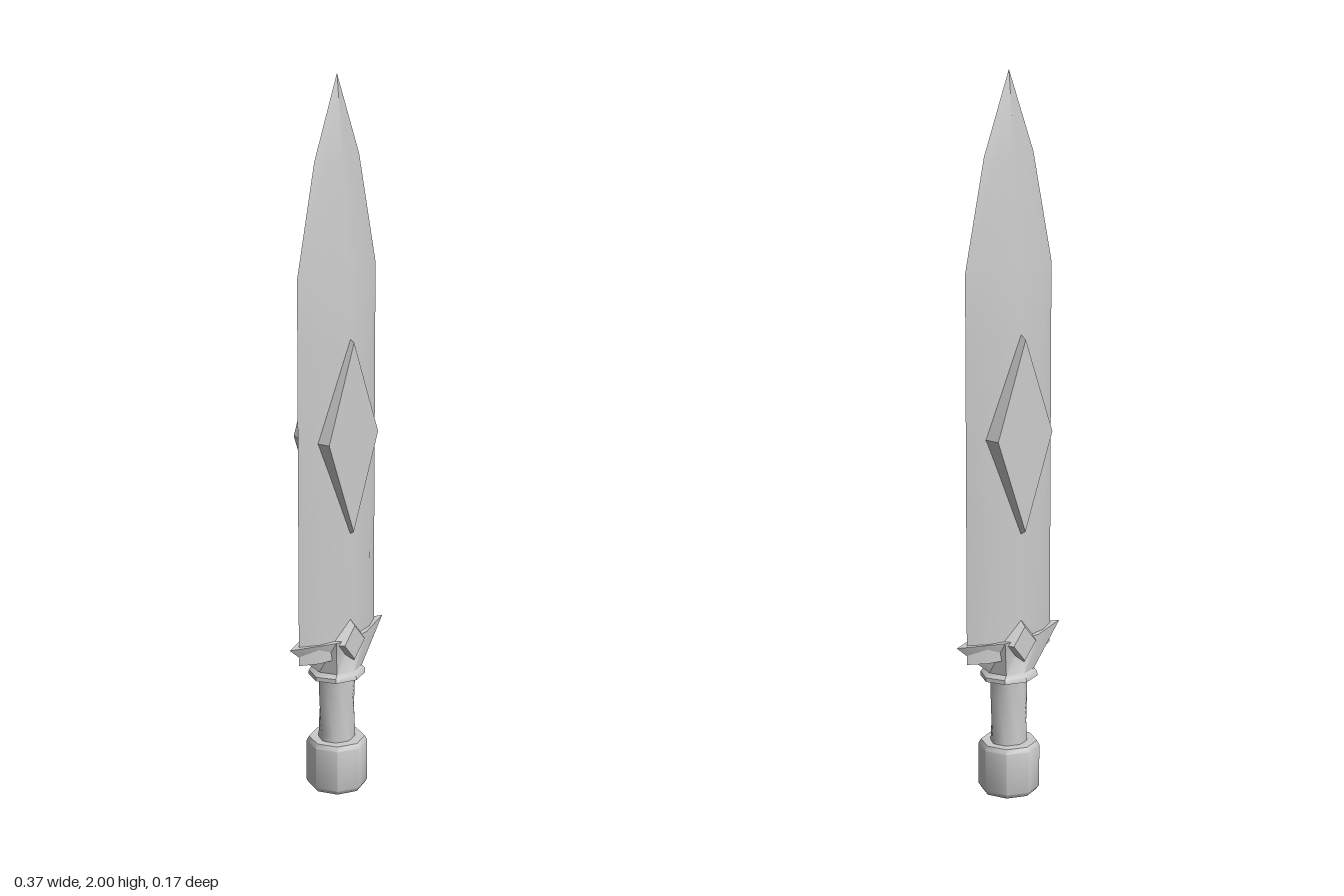
import * as THREE from 'three';
import { toCreasedNormals } from 'three/addons/utils/BufferGeometryUtils.js';

const material = new THREE.MeshStandardMaterial({ color: 0xcccccc });

// Joins horizontal rings of [x, z] points, given as [y, ring], into a capped solid.
function loft(sections, crease) {
  const n = sections[0][1].length;
  const positions = [];
  const index = [];
  for (const [y, ring] of sections) for (const [x, z] of ring) positions.push(x, y, z);
  for (let i = 0; i < sections.length - 1; i++) {
    for (let j = 0; j < n; j++) {
      const a = i * n + j, b = i * n + (j + 1) % n;
      index.push(a, a + n, b, b, a + n, b + n);
    }
  }
  const last = (sections.length - 1) * n;
  for (let j = 1; j < n - 1; j++) {
    index.push(0, j, j + 1);
    index.push(last, last + j + 1, last + j);
  }
  const geometry = new THREE.BufferGeometry();
  geometry.setAttribute('position', new THREE.Float32BufferAttribute(positions, 3));
  geometry.setIndex(index);
  return toCreasedNormals(geometry, crease);
}

// Eight-point lens: sharp at +-w, shoulders at (sx, sz), ridges at +-d.
function lens(w, sx, sz, d) {
  return [[w, 0], [sx, sz], [0, d], [-sx, sz], [-w, 0], [-sx, -sz], [0, -d], [sx, -sz]];
}

function oval(rx, rz, turn = 0) {
  return Array.from({ length: 8 }, (_, i) => {
    const a = i * Math.PI / 4;
    const x = rx * Math.cos(a), z = rz * Math.sin(a);
    return [x * Math.cos(turn) - z * Math.sin(turn), x * Math.sin(turn) + z * Math.cos(turn)];
  });
}

// Four-sided stud facing +z, wide at z0 and narrower at z1.
function diamond(halfWidth, halfHeight, topScale, z0, z1) {
  const geometry = new THREE.CylinderGeometry(topScale, 1, z1 - z0, 4);
  geometry.rotateX(Math.PI / 2);
  geometry.scale(halfWidth, halfHeight, 1);
  geometry.translate(0, 0, (z0 + z1) / 2);
  return toCreasedNormals(geometry, 0.2);
}

export function createModel() {
  const group = new THREE.Group();
  const add = (name, geometry) => {
    const mesh = new THREE.Mesh(geometry, material);
    mesh.name = name;
    group.add(mesh);
    return mesh;
  };

  // Blade: broad and parallel, then tapering in two steps to the point
  add('blade', loft([
    [0.40, lens(0.15, 0.1, 0.03, 0.052)],
    [0.75, lens(0.15, 0.1, 0.03, 0.05)],
    [1.30, lens(0.15, 0.1, 0.027, 0.05)],
    [1.48, lens(0.15, 0.085, 0.022, 0.043)],
    [1.78, lens(0.085, 0.045, 0.012, 0.021)],
    [2.00, lens(0.0005, 0.0003, 0.0002, 0.0005)],
  ], 0.9));

  // Guard: collar at the bottom flaring into two pointed wings
  add('guard', loft([
    [0.335, oval(0.083, 0.075)],
    [0.347, oval(0.083, 0.073)],
    [0.358, lens(0.07, 0.05, 0.048, 0.066)],
    [0.455, lens(0.185, 0.06, 0.055, 0.058)],
  ], 0.6));

  // Raised plates on the blade and small gems on the guard, on both faces
  for (const [side, turn] of [['front', 0], ['back', Math.PI]]) {
    const plate = add(side + 'Plate', diamond(0.106, 0.295, 0.9, 0.01, 0.066));
    plate.position.set(0, 1.03, -0.003);
    plate.rotation.y = turn;
    const gem = add(side + 'Gem', diamond(0.066, 0.082, 0.6, 0.03, 0.068));
    gem.position.y = 0.445;
    gem.rotation.y = turn;
  }

  // Grip: slightly twisted and narrowing toward the guard
  const grip = [];
  for (let i = 0; i <= 6; i++) {
    const t = i / 6;
    grip.push([0.13 + 0.22 * t, oval(0.054 - 0.004 * t, 0.049 - 0.006 * t, t * Math.PI / 4)]);
  }
  add('grip', loft(grip, 0.9));

  // Pommel: eight-sided cap with small bevels
  add('pommel', loft([
    [0, oval(0.077, 0.077)],
    [0.012, oval(0.085, 0.085)],
    [0.132, oval(0.085, 0.085)],
    [0.145, oval(0.078, 0.078)],
  ], 0.85));

  return group;
}
